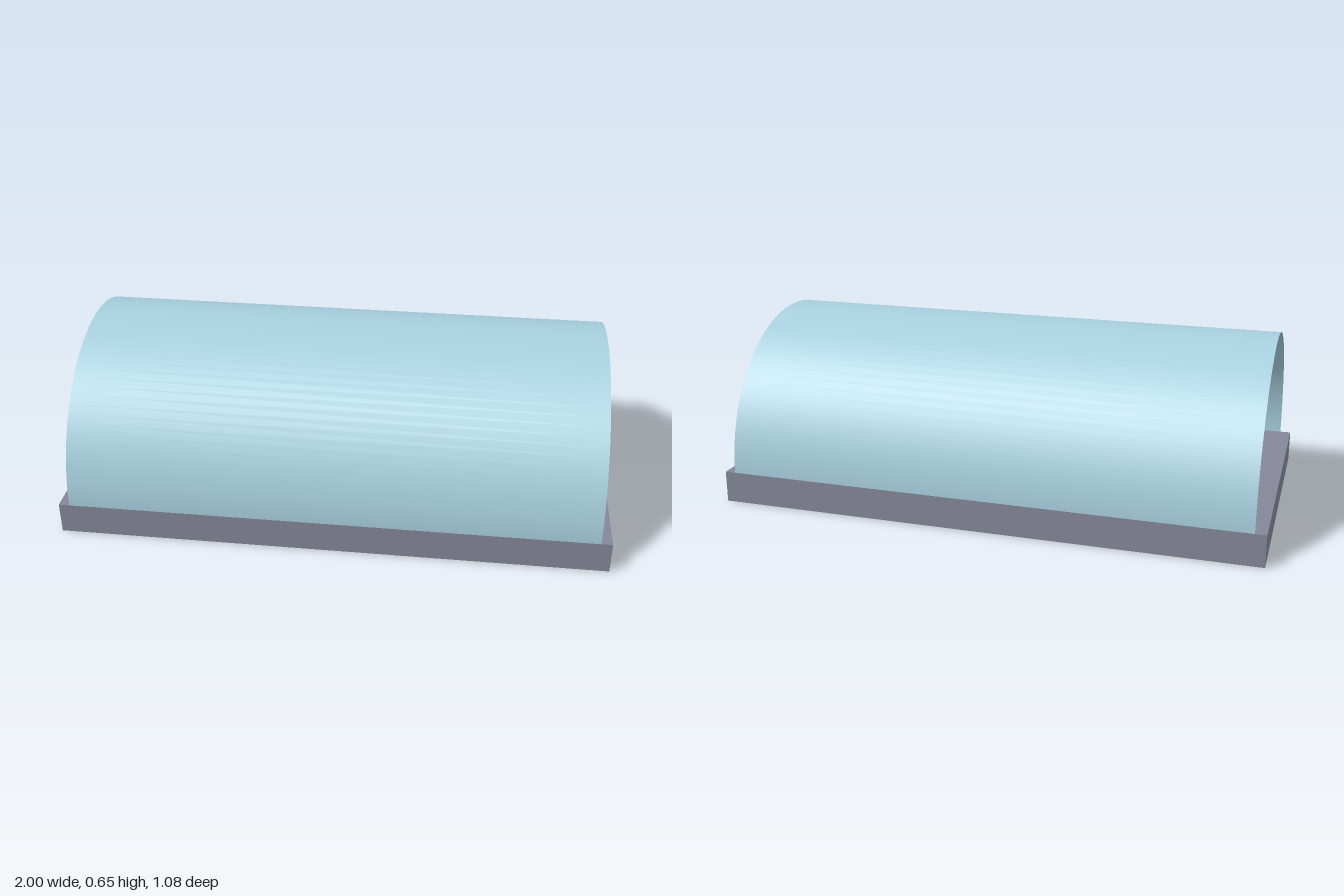
import * as THREE from 'three';

const mat = (name, color, extra = {}) => {
  const m = new THREE.MeshStandardMaterial({ color, ...extra });
  m.name = name;
  return m;
};

export function createModel() {
  const model = new THREE.Group();
  model.name = 'greenhouse';

  const slate = mat('slateGrey', 0x848799);
  const glass = mat('paleBlue', 0xa8d0df, { side: THREE.DoubleSide });
  const leaf = mat('leafGreen', 0x5ccf82, { flatShading: true });
  const pink = mat('growLightPink', 0xc850a4);

  const add = (name, geometry, material, x, y, z) => {
    const mesh = new THREE.Mesh(geometry, material);
    mesh.name = name;
    mesh.position.set(x, y, z);
    model.add(mesh);
  };

  const baseH = 0.117, radius = 0.5375;

  // Floor slab
  add('base', new THREE.BoxGeometry(2, baseH, radius * 2), slate, 0, baseH / 2, 0);

  // Open-ended half-cylinder canopy
  const shell = new THREE.CylinderGeometry(radius, radius, 1.92, 48, 1, true, 0, Math.PI);
  shell.rotateZ(Math.PI / 2);
  add('canopy', shell, glass, 0, baseH, 0);

  // Lamp strip hanging under the ridge
  add('growLight', new THREE.BoxGeometry(1.76, 0.02, 0.096), pink, 0, 0.598, 0);

  // Two rows of plants, cycling through three sizes
  const sizes = [0.107, 0.127, 0.146], perRow = 5;
  for (let row = 0; row < 2; row++) {
    for (let i = 0; i < perRow; i++) {
      const n = row * perRow + i;
      add(`plant${n + 1}`, new THREE.IcosahedronGeometry(sizes[n % 3], 0), leaf,
        -0.77 + i * 0.385, 0.234, row ? 0.173 : -0.173);
    }
  }
  return model;
}
